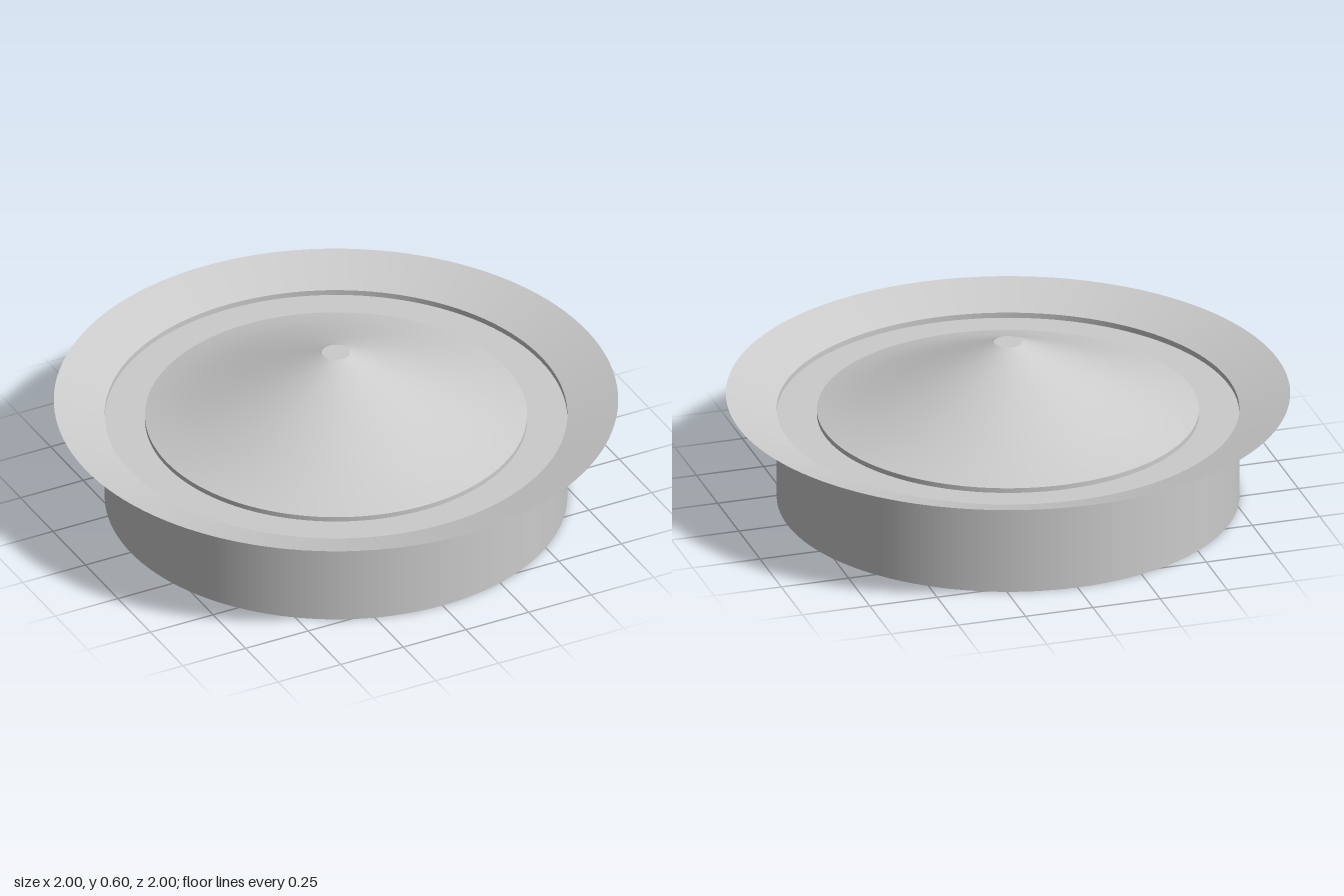
import * as THREE from 'three';

const SEGMENTS = 128;

export function createModel() {
  const group = new THREE.Group();
  const material = new THREE.MeshStandardMaterial({ color: 0xcccccc, side: THREE.DoubleSide });

  // Revolve one smooth [radius, height] profile per part so edges between parts stay sharp
  const addLathe = (name, profile) => {
    const points = profile.map(([r, y]) => new THREE.Vector2(r, y));
    const mesh = new THREE.Mesh(new THREE.LatheGeometry(points, SEGMENTS), material);
    mesh.name = name;
    group.add(mesh);
  };

  // Drum body
  addLathe('baseBottom', [[0, 0], [0.82, 0]]);
  addLathe('baseWall', [[0.82, 0], [0.82, 0.34]]);

  // Thin flared brim
  addLathe('brim', [[0.82, 0.34], [1, 0.4]]);

  // Flat ring, sunk slightly below the brim
  addLathe('recessedRing', [[0.82, 0.32], [0.67, 0.32]]);

  // Central cone: short lip, gently concave slope and flat tip
  addLathe('coneLip', [[0.677, 0.32], [0.677, 0.338]]);
  addLathe('cone', [
    [0.677, 0.338], [0.6, 0.36], [0.49, 0.4], [0.35, 0.462], [0.2, 0.53], [0.05, 0.6],
  ]);
  addLathe('coneTip', [[0.05, 0.6], [0, 0.6]]);

  return group;
}
